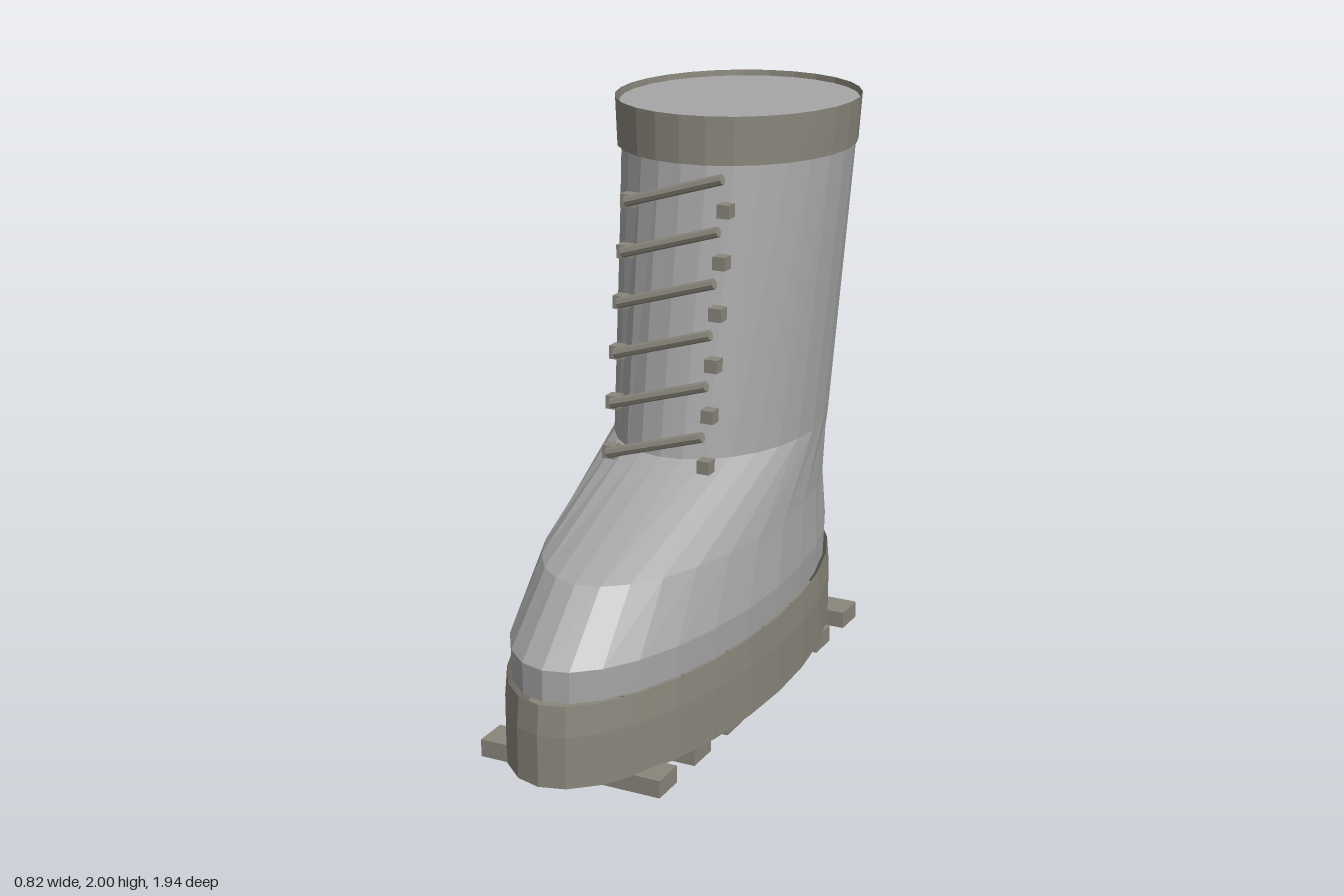
import * as THREE from 'three';

const SEGMENTS = 28;

// Skin elliptical rings given as [y, half width, front z, back z]
function loft(rings, capBottom, capTop) {
  const pos = [], index = [];
  const at = (i, j) => i * SEGMENTS + (j % SEGMENTS);
  for (const [y, rx, front, back] of rings) {
    for (let j = 0; j < SEGMENTS; j++) {
      const a = (j / SEGMENTS) * Math.PI * 2;
      pos.push(rx * Math.sin(a), y, (front + back) / 2 + ((front - back) / 2) * Math.cos(a));
    }
  }
  for (let i = 0; i < rings.length - 1; i++) {
    for (let j = 0; j < SEGMENTS; j++) {
      index.push(at(i, j), at(i, j + 1), at(i + 1, j + 1), at(i, j), at(i + 1, j + 1), at(i + 1, j));
    }
  }
  const cap = (i, up) => {
    const [y, , front, back] = rings[i];
    const centre = pos.length / 3;
    pos.push(0, y, (front + back) / 2);
    for (let j = 0; j < SEGMENTS; j++) {
      if (up) index.push(centre, at(i, j), at(i, j + 1));
      else index.push(centre, at(i, j + 1), at(i, j));
    }
  };
  if (capBottom) cap(0, false);
  if (capTop) cap(rings.length - 1, true);
  const g = new THREE.BufferGeometry();
  g.setAttribute('position', new THREE.Float32BufferAttribute(pos, 3));
  g.setIndex(index);
  const flat = g.toNonIndexed();
  flat.computeVertexNormals();
  return flat;
}

export function createModel() {
  const boot = new THREE.Group();
  boot.name = 'boot';

  const leather = new THREE.MeshStandardMaterial({ name: 'grey leather', color: 0xa6a6a6 });
  const rubber = new THREE.MeshStandardMaterial({ name: 'olive grey rubber', color: 0x89867b, side: THREE.DoubleSide });

  const add = (name, geometry, material, x = 0, y = 0, z = 0) => {
    const mesh = new THREE.Mesh(geometry, material);
    mesh.name = name;
    mesh.position.set(x, y, z);
    boot.add(mesh);
    return mesh;
  };

  // Foot and shaft in one skin, closed just below the collar rim
  add('upper', loft([
    [0.33, 0.37, 0.935, -0.93],
    [0.435, 0.375, 0.935, -0.93],
    [0.64, 0.355, 0.72, -0.893],
    [0.88, 0.342, 0.135, -0.825],
    [1.84, 0.39, -0.022, -0.9],
    [1.98, 0.4, -0.022, -0.91],
  ], true, true), leather);

  // Thick sole
  add('sole', loft([
    [0.055, 0.385, 0.972, -0.97],
    [0.23, 0.385, 0.972, -0.97],
    [0.33, 0.378, 0.96, -0.957],
  ], true, false), rubber);

  // Open band around the top of the shaft
  add('collar', loft([
    [1.84, 0.4, 0, -0.905],
    [2, 0.41, 0, -0.915],
  ], false, false), rubber);

  // Tread bars
  const bar = new THREE.BoxGeometry(0.65, 0.06, 0.12);
  for (let i = 0; i < 7; i++) add('treadBar', bar, rubber, 0, 0.03, 0.718 - 0.247 * i);

  // Eyelet pairs with one slanted lace each
  const eyelet = new THREE.BoxGeometry(0.045, 0.045, 0.045);
  const rise = 0.107, span = 0.35;
  const lace = new THREE.CylinderGeometry(0.018, 0.018, Math.hypot(span, rise), 8).toNonIndexed();
  lace.computeVertexNormals();
  for (let i = 0; i < 6; i++) {
    const y = 0.88 + 0.165 * i;
    const z = 0.15 - 0.028 * i;
    for (const side of [-1, 1]) add(side < 0 ? 'rightEyelet' : 'leftEyelet', eyelet, rubber, side * 0.175, y, z);
    add('lace', lace, rubber, 0, y + rise / 2, z + 0.025).rotation.z = Math.atan2(rise, span) - Math.PI / 2;
  }

  return boot;
}
